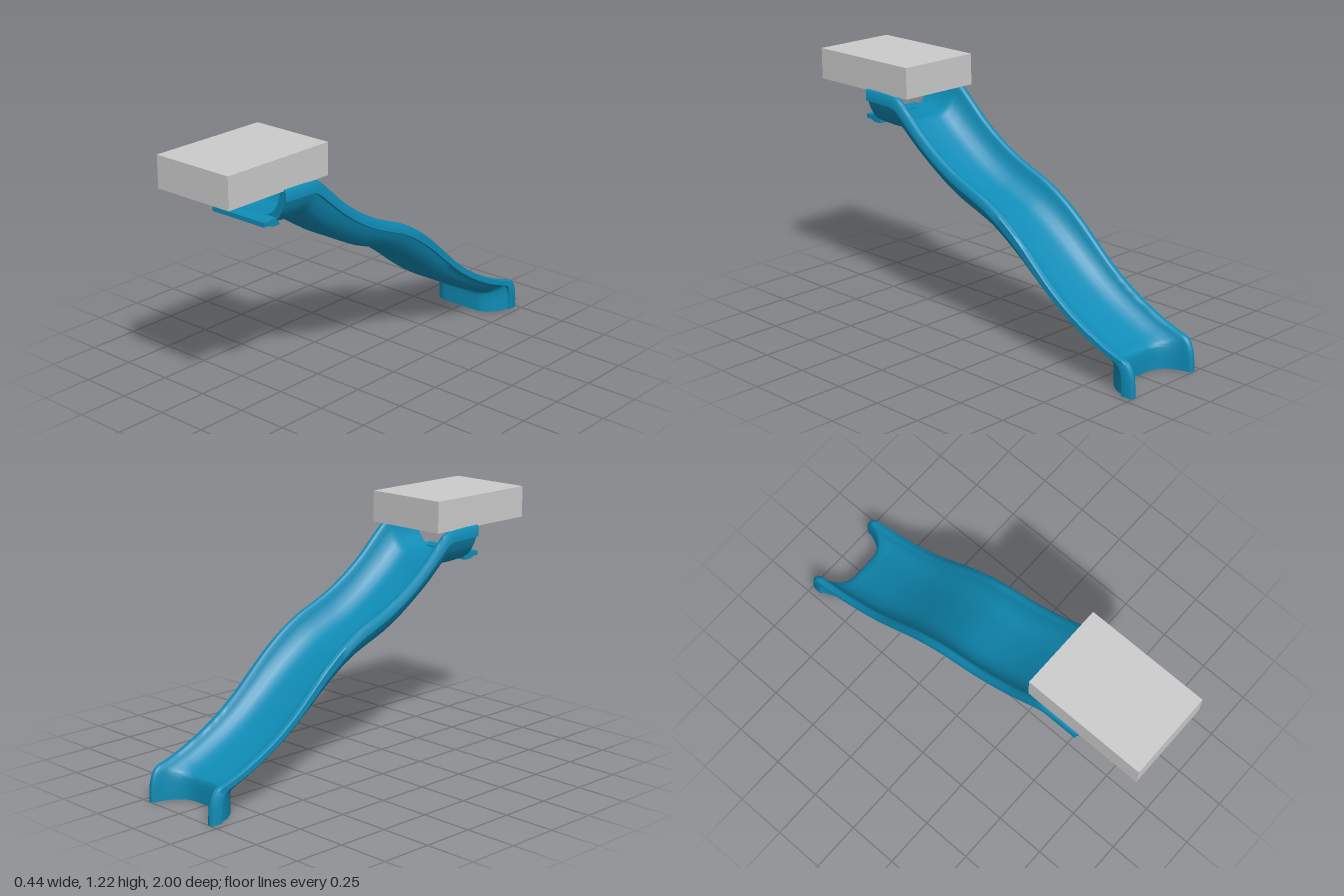
import * as THREE from 'three';
import { toCreasedNormals } from 'three/addons/utils/BufferGeometryUtils.js';

const SAMPLES = 90;

// Half cross-section [x, t]: t = 0 is the underside, t = 1 the top of the rim
const HALF = [
  [0, 0.17], [0.07, 0.17], [0.095, 0.2], [0.12, 0.26], [0.145, 0.38], [0.165, 0.55],
  [0.18, 0.77], [0.184, 0.92], [0.19, 0.98], [0.2, 1], [0.21, 0.99], [0.219, 0.94],
  [0.22, 0.68], [0.207, 0.66], [0.195, 0.46], [0.175, 0.26], [0.15, 0.1], [0.12, 0.02],
  [0.1, 0], [0, 0],
];

// Stations from top to bottom: [rim z, rim y, underside z, underside y]
const STATIONS = [
  [0.675, 1.078, 0.665, 0.9], [0.57, 1.076, 0.57, 0.895], [0.49, 1.07, 0.5, 0.893],
  [0.46, 1.06, 0.46, 0.86], [0.4, 1.01, 0.4, 0.81], [0.3, 0.92, 0.3, 0.742],
  [0.2, 0.848, 0.2, 0.68], [0.1, 0.79, 0.1, 0.63], [0, 0.745, 0, 0.592],
  [-0.1, 0.705, -0.1, 0.55], [-0.2, 0.65, -0.2, 0.49], [-0.3, 0.577, -0.3, 0.42],
  [-0.4, 0.49, -0.4, 0.343], [-0.5, 0.4, -0.5, 0.272], [-0.6, 0.325, -0.6, 0.213],
  [-0.7, 0.265, -0.7, 0.163], [-0.81, 0.212, -0.775, 0.13], [-0.9, 0.178, -0.805, 0.118],
  [-0.965, 0.155, -0.817, 0.105], [-0.99, 0.11, -0.82, 0.08], [-0.998, 0.06, -0.82, 0.045],
  [-1, 0.005, -0.82, 0.005],
];

function createChannelGeometry() {
  const mirrored = HALF.slice(1, -1).reverse().map(([x, t]) => [-x, t]);
  const loop = [...HALF, ...mirrored];
  const n = loop.length;
  const rim = new THREE.CatmullRomCurve3(STATIONS.map(s => new THREE.Vector3(0, s[1], s[0])));
  const base = new THREE.CatmullRomCurve3(STATIONS.map(s => new THREE.Vector3(0, s[3], s[2])));

  // Sweep the section between the two guide curves
  const positions = [];
  const index = [];
  for (let i = 0; i <= SAMPLES; i++) {
    const r = rim.getPoint(i / SAMPLES);
    const b = base.getPoint(i / SAMPLES);
    for (const [x, t] of loop) {
      positions.push(x, b.y + (r.y - b.y) * t, b.z + (r.z - b.z) * t);
    }
    if (i === SAMPLES) break;
    for (let j = 0; j < n; j++) {
      const a = i * n + j;
      const c = i * n + (j + 1) % n;
      index.push(a, c, a + n, c, c + n, a + n);
    }
  }

  // Close both ends
  const outline = loop.map(([x, t]) => new THREE.Vector2(x, t * 0.18));
  const last = SAMPLES * n;
  for (const [a, b, c] of THREE.ShapeUtils.triangulateShape(outline, [])) {
    index.push(a, b, c, last + a, last + c, last + b);
  }

  const geometry = new THREE.BufferGeometry();
  geometry.setAttribute('position', new THREE.Float32BufferAttribute(positions, 3));
  geometry.setIndex(index);
  return toCreasedNormals(geometry, 0.9);
}

// Stepped strip that hooks the slide to its platform
function createTabGeometry() {
  const profile = [
    [0.65, 0.9], [0.69, 0.901], [0.715, 0.911], [0.742, 0.911],
    [0.742, 0.932], [0.715, 0.932], [0.7, 0.936], [0.65, 0.936],
  ];
  const shape = new THREE.Shape(profile.map(([z, y]) => new THREE.Vector2(z, y)));
  const geometry = new THREE.ExtrudeGeometry(shape, { depth: 0.31, bevelEnabled: false });
  geometry.rotateY(-Math.PI / 2);
  geometry.translate(0.155, 0, 0);
  return geometry;
}

export function createModel() {
  const model = new THREE.Group();
  model.name = 'slide';
  const blue = new THREE.MeshStandardMaterial({ color: 0x0f8cb6, side: THREE.DoubleSide });
  const grey = new THREE.MeshStandardMaterial({ color: 0xcccccc });

  const add = (name, geometry, material) => {
    const mesh = new THREE.Mesh(geometry, material);
    mesh.name = name;
    model.add(mesh);
    return mesh;
  };

  add('slideChannel', createChannelGeometry(), blue);
  add('mountingTab', createTabGeometry(), blue);
  add('topBlock', new THREE.BoxGeometry(0.42, 0.15, 0.6), grey).position.set(0, 1.145, 0.7);
  return model;
}
